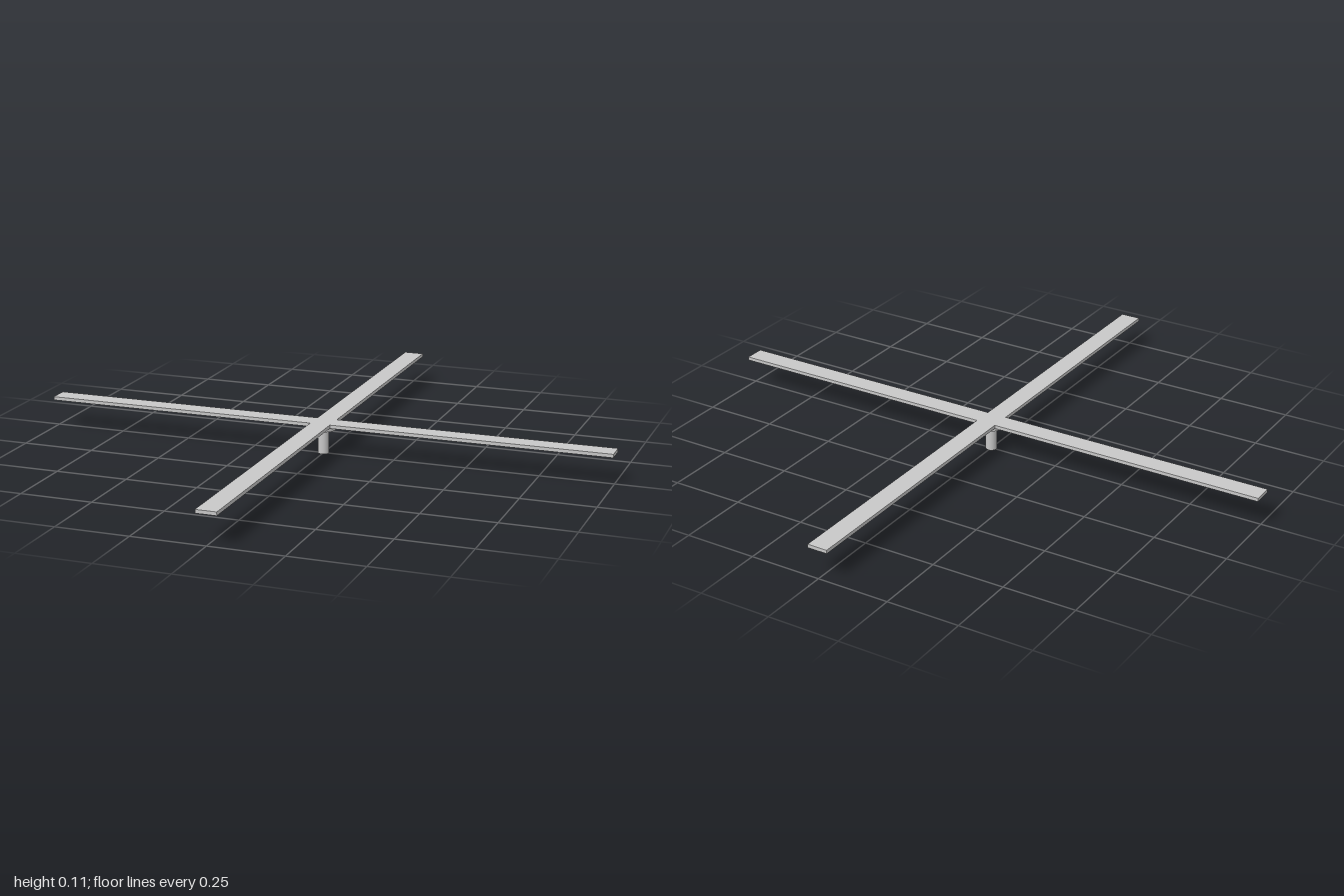
import * as THREE from 'three';

export function createModel() {
  const model = new THREE.Group();
  const grey = new THREE.MeshStandardMaterial({ color: 0xc8c8c8 });
  grey.name = 'light metal grey';

  function add(name, geometry, y) {
    const mesh = new THREE.Mesh(geometry, grey);
    mesh.name = name;
    mesh.position.y = y;
    model.add(mesh);
  }

  // Four flat blades in one plane, cut as a single cross
  const w = 0.035;
  const cross = new THREE.Shape();
  for (let i = 0; i < 4; i++) {
    const c = Math.round(Math.cos(i * Math.PI / 2));
    const s = Math.round(Math.sin(i * Math.PI / 2));
    for (const [x, y] of [[1, -w], [1, w], [w, w]]) {
      const px = x * c - y * s, py = x * s + y * c;
      if (i === 0 && x === 1 && y < 0) cross.moveTo(px, py);
      else cross.lineTo(px, py);
    }
  }
  cross.closePath();
  const blades = new THREE.ExtrudeGeometry(cross, { depth: 0.012, bevelEnabled: false });
  blades.rotateX(-Math.PI / 2);
  add('rotorBlades', blades, 0.098);

  // Round hub under the crossing, with its shaft below
  add('hub', new THREE.CylinderGeometry(0.043, 0.043, 0.025, 32), 0.0965);
  add('shaft', new THREE.CylinderGeometry(0.019, 0.019, 0.09, 24), 0.045);

  return model;
}
